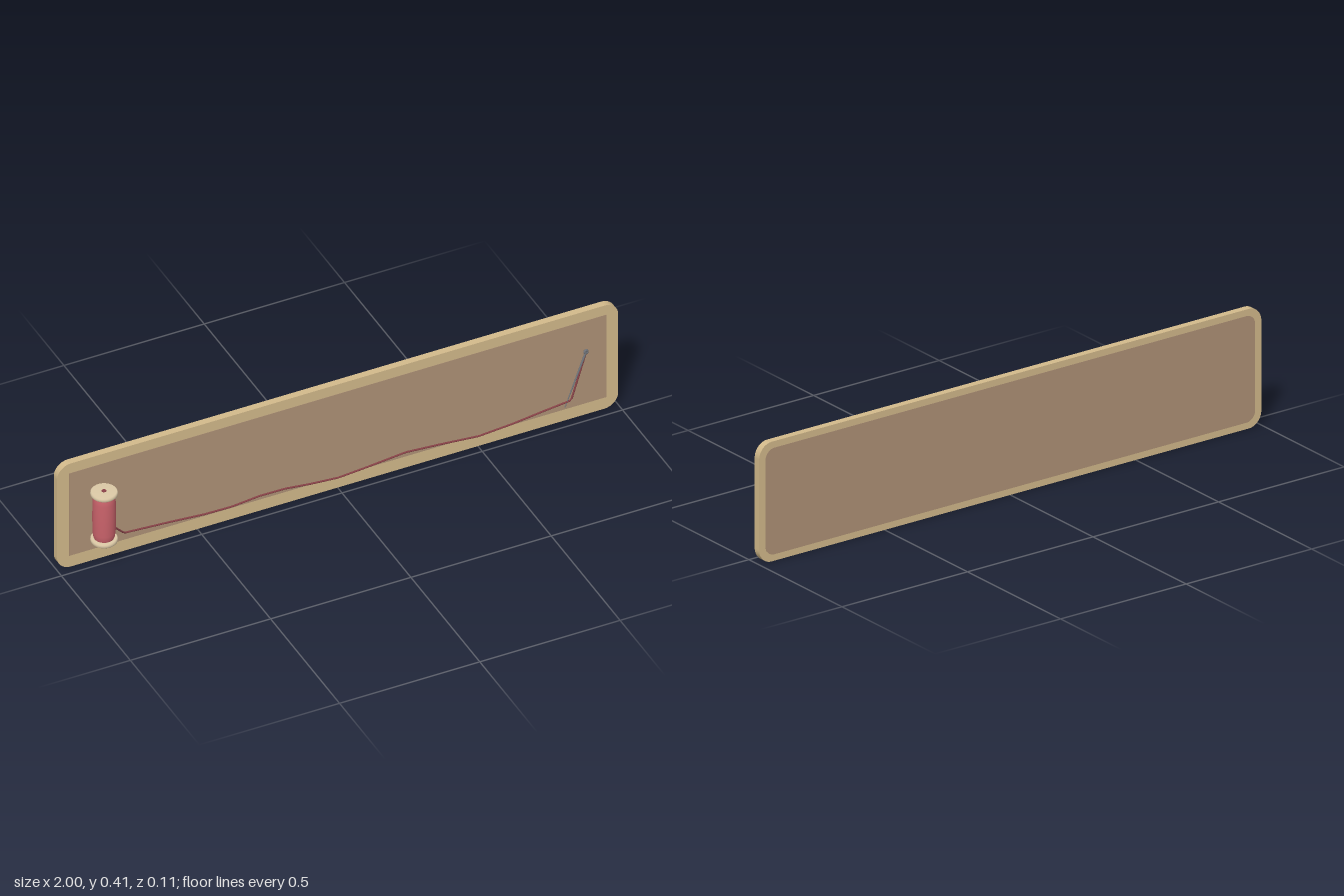
import * as THREE from 'three';

const mat = (color, side = THREE.FrontSide) => new THREE.MeshStandardMaterial({ color, side });

// rounded rectangle centred on the origin
function roundedRect(w, h, r) {
  const s = new THREE.Shape();
  const x = w / 2, y = h / 2;
  s.moveTo(-x + r, -y);
  s.lineTo(x - r, -y);
  s.absarc(x - r, -y + r, r, -Math.PI / 2, 0);
  s.lineTo(x, y - r);
  s.absarc(x - r, y - r, r, 0, Math.PI / 2);
  s.lineTo(-x + r, y);
  s.absarc(-x + r, y - r, r, Math.PI / 2, Math.PI);
  s.lineTo(-x, -y + r);
  s.absarc(-x + r, -y + r, r, Math.PI, Math.PI * 1.5);
  return s;
}

export function createModel() {
  const model = new THREE.Group();
  const wood = mat(0xd2b98a), cloth = mat(0xae9176), red = mat(0xc9626a);
  const paleWood = mat(0xdcc9a6), steel = mat(0x70747a), darkRed = mat(0x8a4248);
  const H = 0.413;

  function add(name, geometry, material, x = 0, y = 0, z = 0, parent = model) {
    const m = new THREE.Mesh(geometry, material);
    m.name = name;
    m.position.set(x, y, z);
    parent.add(m);
    return m;
  }
  const plate = (shape, depth) =>
    new THREE.ExtrudeGeometry(shape, { depth, bevelEnabled: false, curveSegments: 10 });

  // board with inset panels on its front and back
  add('board', plate(roundedRect(2, H, 0.05), 0.0242), wood, 0, H / 2, -0.0557);
  add('frontPanel', new THREE.BoxGeometry(1.914, 0.33, 0.002), cloth, 0, 0.21, -0.0316);
  add('backPanel', plate(roundedRect(1.95, H - 0.045, 0.035), 0.002), cloth, 0, H / 2, -0.0565);

  // spool: two rounded flanges, wound thread, centre hole
  const spool = new THREE.Group();
  spool.name = 'spool';
  spool.position.set(-0.855, 0.102, 0.014);
  model.add(spool);
  const lathe = pts => new THREE.LatheGeometry(pts.map(p => new THREE.Vector2(...p)), 32);
  const flange = lathe([[0, 0], [0.041, 0], [0.044, 0.003], [0.0445, 0.008], [0.044, 0.013], [0.041, 0.016], [0, 0.016]]);
  add('lowerFlange', flange, paleWood, 0, 0, 0, spool);
  add('upperFlange', flange, paleWood, 0, 0.184, 0, spool);
  add('woundThread', lathe([[0.032, 0.014], [0.035, 0.022], [0.0375, 0.04], [0.038, 0.1], [0.0375, 0.16], [0.035, 0.178], [0.032, 0.186]]), red, 0, 0, 0, spool);
  add('spoolHole', new THREE.CylinderGeometry(0.008, 0.008, 0.001, 16), darkRed, 0, 0.2003, 0, spool);

  // loose thread leaving the spool, waving along the board to the needle's eye
  const path = new THREE.CurvePath();
  const v = (x, y, z = -0.027) => new THREE.Vector3(x, y, z);
  const points = [
    v(-0.822, 0.142, -0.002), v(-0.765, 0.079, -0.023), v(-0.6, 0.065), v(-0.48, 0.055), v(-0.38, 0.053),
    v(-0.28, 0.063), v(-0.19, 0.062), v(-0.1, 0.051), v(0, 0.043), v(0.1, 0.051), v(0.24, 0.065),
    v(0.36, 0.056), v(0.5, 0.043), v(0.62, 0.052), v(0.73, 0.066), v(0.83, 0.077), v(0.883, 0.252),
  ];
  for (let i = 1; i < points.length; i++) path.add(new THREE.LineCurve3(points[i - 1], points[i]));
  add('looseThread', new THREE.TubeGeometry(path, 160, 0.0032, 6), darkRed);

  // needle leaning on the board, with its eye at the top
  const tip = v(0.808, 0.056), eye = v(0.883, 0.254);
  const axis = eye.clone().sub(tip);
  const needle = add('needle', new THREE.CylinderGeometry(0.004, 0.0015, axis.length(), 10), steel);
  needle.position.copy(tip).add(eye).multiplyScalar(0.5);
  needle.quaternion.setFromUnitVectors(new THREE.Vector3(0, 1, 0), axis.normalize());
  add('needleEye', new THREE.TorusGeometry(0.006, 0.0035, 8, 16), steel, eye.x, eye.y, eye.z);

  return model;
}
